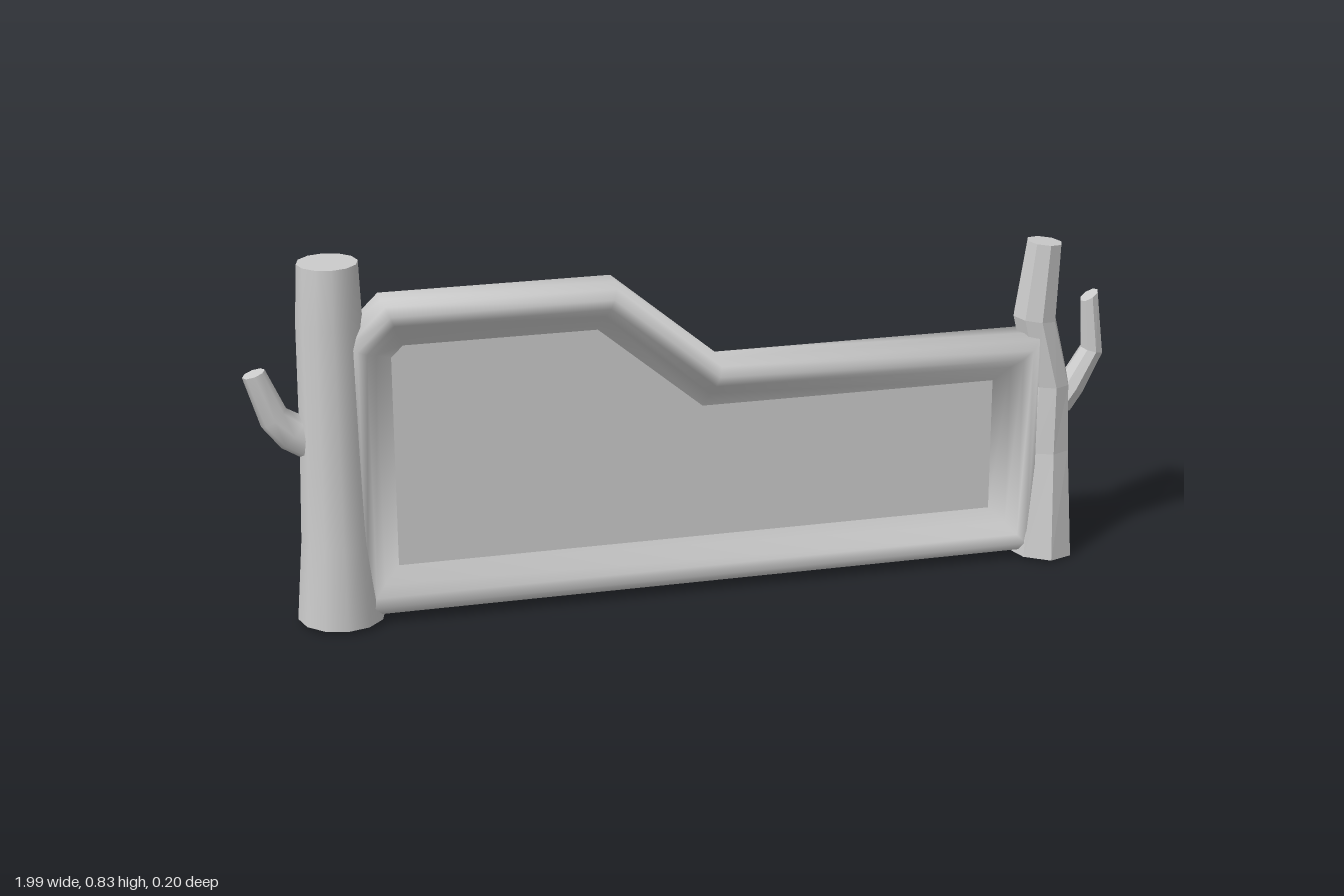
import * as THREE from 'three';

const grey = (flat) => new THREE.MeshStandardMaterial({ color: 0xcccccc, flatShading: flat, side: THREE.DoubleSide });

function mesh(name, positions, indices, flat) {
  const g = new THREE.BufferGeometry();
  g.setAttribute('position', new THREE.Float32BufferAttribute(positions, 3));
  g.setIndex(indices);
  g.computeVertexNormals();
  const m = new THREE.Mesh(g, grey(flat));
  m.name = name;
  return m;
}

// Limb lofted through sections [x, y, radiusX, radiusZ, tilt], listed from the bottom up
function limb(name, sections, sides, flat, capBottom) {
  const pos = [], idx = [];
  const ring = ([x, y, rx, rz, tilt = 0]) => {
    for (let j = 0; j < sides; j++) {
      const a = (j / sides) * Math.PI * 2;
      pos.push(x + rx * Math.cos(a) * Math.cos(tilt), y + rx * Math.cos(a) * Math.sin(tilt), rz * Math.sin(a));
    }
  };
  sections.forEach(ring);
  for (let i = 0; i < sections.length - 1; i++) {
    for (let j = 0; j < sides; j++) {
      const k = (j + 1) % sides, a = i * sides, b = a + sides;
      idx.push(a + j, b + j, a + k, a + k, b + j, b + k);
    }
  }
  // caps have their own vertices so their edges stay sharp
  const cap = (s, up) => {
    const o = pos.length / 3;
    ring(s);
    for (let j = 1; j < sides - 1; j++) idx.push(o, o + (up ? j + 1 : j), o + (up ? j : j + 1));
  };
  cap(sections[sections.length - 1], true);
  if (capBottom) cap(sections[0], false);
  return mesh(name, pos, idx, flat);
}

// Moves a counter-clockwise outline inwards by d, with mitred corners
function inset(points, d) {
  const n = points.length;
  return points.map((p, i) => {
    const e1 = p.clone().sub(points[(i + n - 1) % n]).normalize();
    const e2 = points[(i + 1) % n].clone().sub(p).normalize();
    const n1 = new THREE.Vector2(-e1.y, e1.x), n2 = new THREE.Vector2(-e2.y, e2.x);
    return p.clone().addScaledVector(n1.clone().add(n2), d / (1 + n1.dot(n2)));
  });
}

// Board with a rounded raised rim and a sunken front
function boardPanel() {
  const outline = [
    [-0.78, 0.015], [0.832, 0.015], [0.832, 0.55], [0.07, 0.55],
    [-0.17, 0.75], [-0.69, 0.75], [-0.782, 0.66],
  ].map(([x, y]) => new THREE.Vector2(x, y));
  const profile = [[0, -0.028], [0, 0.025], [0.01, 0.05], [0.03, 0.065], [0.052, 0.06], [0.075, 0.038], [0.11, 0.018]];
  const n = outline.length, pos = [], idx = [];
  const ring = ([d, z]) => {
    const pts = inset(outline, d);
    pts.forEach((p) => pos.push(p.x, p.y, z));
    return pts;
  };
  profile.forEach(ring);
  for (let i = 0; i < profile.length - 1; i++) {
    for (let j = 0; j < n; j++) {
      const k = (j + 1) % n, a = i * n, b = a + n;
      idx.push(a + j, a + k, b + j, a + k, b + k, b + j);
    }
  }
  // sunken front face and flat back
  [[profile[profile.length - 1], true], [profile[0], false]].forEach(([s, front]) => {
    const o = pos.length / 3;
    const pts = ring(s);
    THREE.ShapeUtils.triangulateShape(pts, []).forEach(([a, b, c]) =>
      idx.push(o + a, o + (front ? b : c), o + (front ? c : b)));
  });
  return mesh('boardPanel', pos, idx, false);
}

export function createModel() {
  const group = new THREE.Group();
  group.name = 'signBoard';
  group.add(boardPanel());

  // smooth round post
  group.add(limb('roundPost', [
    [-0.8, 0.012, 0.098, 0.1], [-0.8, 0.2, 0.083, 0.087], [-0.8, 0.42, 0.077, 0.079],
    [-0.802, 0.7, 0.073, 0.073], [-0.801, 0.836, 0.067, 0.067],
  ], 12, false, true));
  group.add(limb('roundPostBranch', [
    [-0.82, 0.42, 0.05, 0.038, -0.95], [-0.89, 0.455, 0.044, 0.034, -0.9],
    [-0.931, 0.493, 0.034, 0.03, -0.6], [-0.97, 0.597, 0.026, 0.025, 0.3],
  ].map(([x, y, rx, rz, t]) => [x, y, rx, rz, Math.abs(t)]), 8, false, false));

  // faceted, crooked post, open underneath
  group.add(limb('crookedPost', [
    [0.853, 0.009, 0.083, 0.1, -0.07], [0.862, 0.26, 0.06, 0.064],
    [0.865, 0.42, 0.05, 0.057], [0.826, 0.58, 0.052, 0.052, -0.12], [0.843, 0.76, 0.042, 0.042, -0.1],
  ], 8, true, false));
  group.add(limb('crookedPostBranch', [
    [0.89, 0.36, 0.034, 0.036, -0.4], [0.922, 0.405, 0.032, 0.036, -0.5],
    [0.97, 0.49, 0.027, 0.03, -0.25], [0.958, 0.622, 0.024, 0.023, 0.55],
  ], 8, true, true));
  return group;
}
